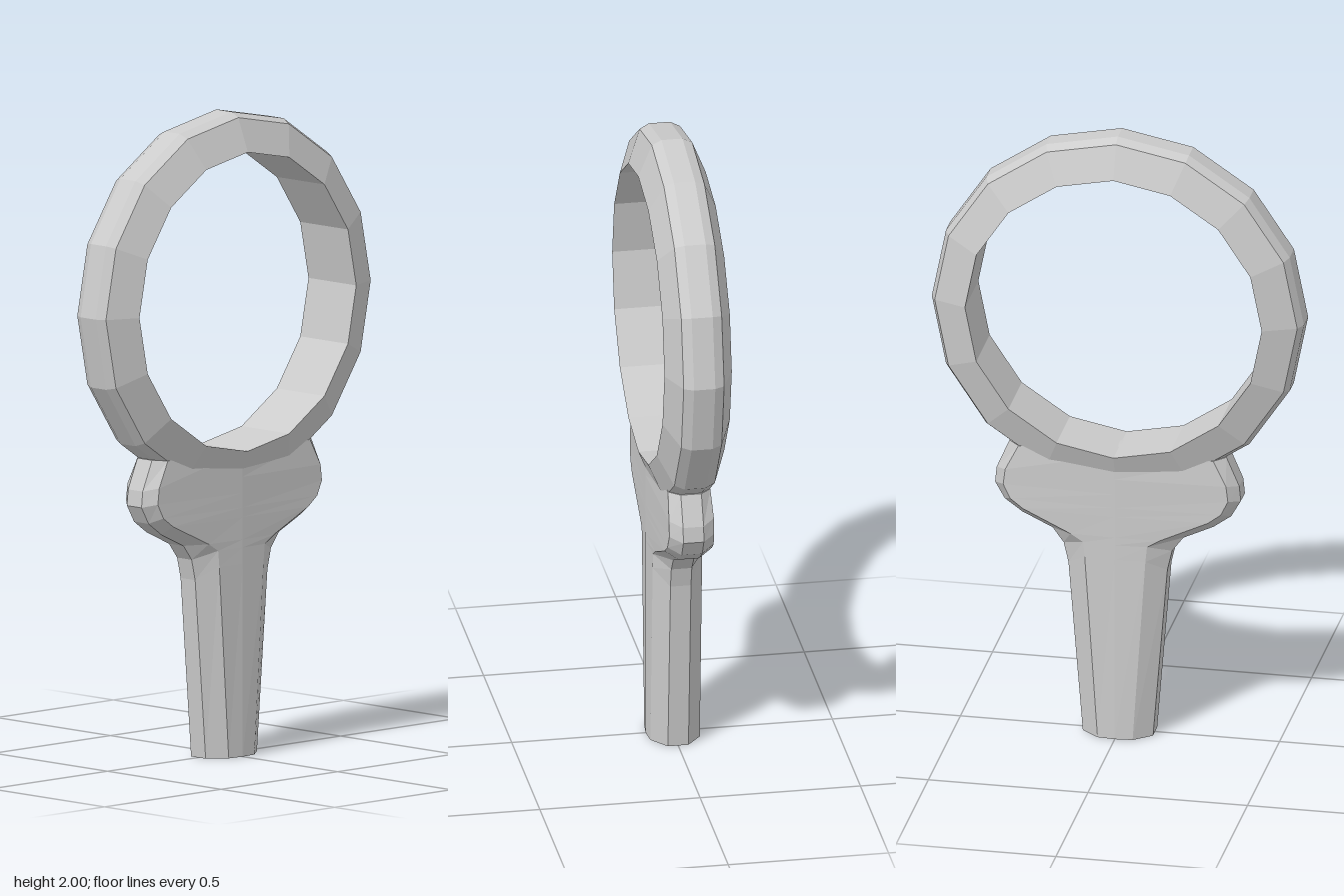
import * as THREE from 'three';

const material = new THREE.MeshStandardMaterial({ color: 0xcccccc, flatShading: true });

// Sixteen-sided hoop: flat inside, bevelled outside, turned about z
function makeRing() {
  const profile = [
    [0.465, -0.105], [0.568, -0.063], [0.583, -0.033],
    [0.583, 0.033], [0.568, 0.063], [0.465, 0.105], [0.465, -0.105],
  ].map(([r, h]) => new THREE.Vector2(r, h));
  const geometry = new THREE.LatheGeometry(profile, 16);
  geometry.rotateX(Math.PI / 2);
  const ring = new THREE.Mesh(geometry, material);
  ring.name = 'ring';
  ring.position.y = 1.417;
  return ring;
}

// Ten-sided tapering grip that flares into the collar holding the ring
function makeHandle() {
  // edge x, edge y, bevel x, bevel y, bevel z
  const rows = [
    [0.11, 0, 0.055, 0, 0.077],
    [0.155, 0.56, 0.095, 0.6, 0.077],
    [0.17, 0.625, 0.1, 0.65, 0.077],
    [0.205, 0.672, 0.14, 0.675, 0.077],
    [0.3, 0.717, 0.29, 0.745, 0.074],
    [0.355, 0.757, 0.33, 0.775, 0.072],
    [0.385, 0.81, 0.352, 0.82, 0.07],
    [0.38, 0.86, 0.346, 0.87, 0.07],
    [0.34, 0.953, 0.305, 0.951, 0.066],
  ];
  const positions = [];
  const index = [];
  const sides = 10;
  for (const [ex, ey, bx, by, bz] of rows) {
    const half = [[ex, ey, 0.032], [bx, by, bz], [0, by, 0.082], [-bx, by, bz], [-ex, ey, 0.032]];
    for (const p of half) positions.push(...p);
    for (const [x, y, z] of half) positions.push(-x, y, -z);
  }
  for (let r = 0; r < rows.length - 1; r++) {
    for (let s = 0; s < sides; s++) {
      const a = r * sides + s, b = r * sides + (s + 1) % sides;
      index.push(a, a + sides, b, b, a + sides, b + sides);
    }
  }
  // End caps
  const top = (rows.length - 1) * sides;
  for (let s = 1; s < sides - 1; s++) {
    index.push(0, s, s + 1, top, top + s + 1, top + s);
  }
  const geometry = new THREE.BufferGeometry();
  geometry.setAttribute('position', new THREE.Float32BufferAttribute(positions, 3));
  geometry.setIndex(index);
  const flat = geometry.toNonIndexed();
  flat.computeVertexNormals();
  const handle = new THREE.Mesh(flat, material);
  handle.name = 'handle';
  return handle;
}

export function createModel() {
  const model = new THREE.Group();
  model.name = 'ringOnHandle';
  model.add(makeRing(), makeHandle());
  return model;
}
